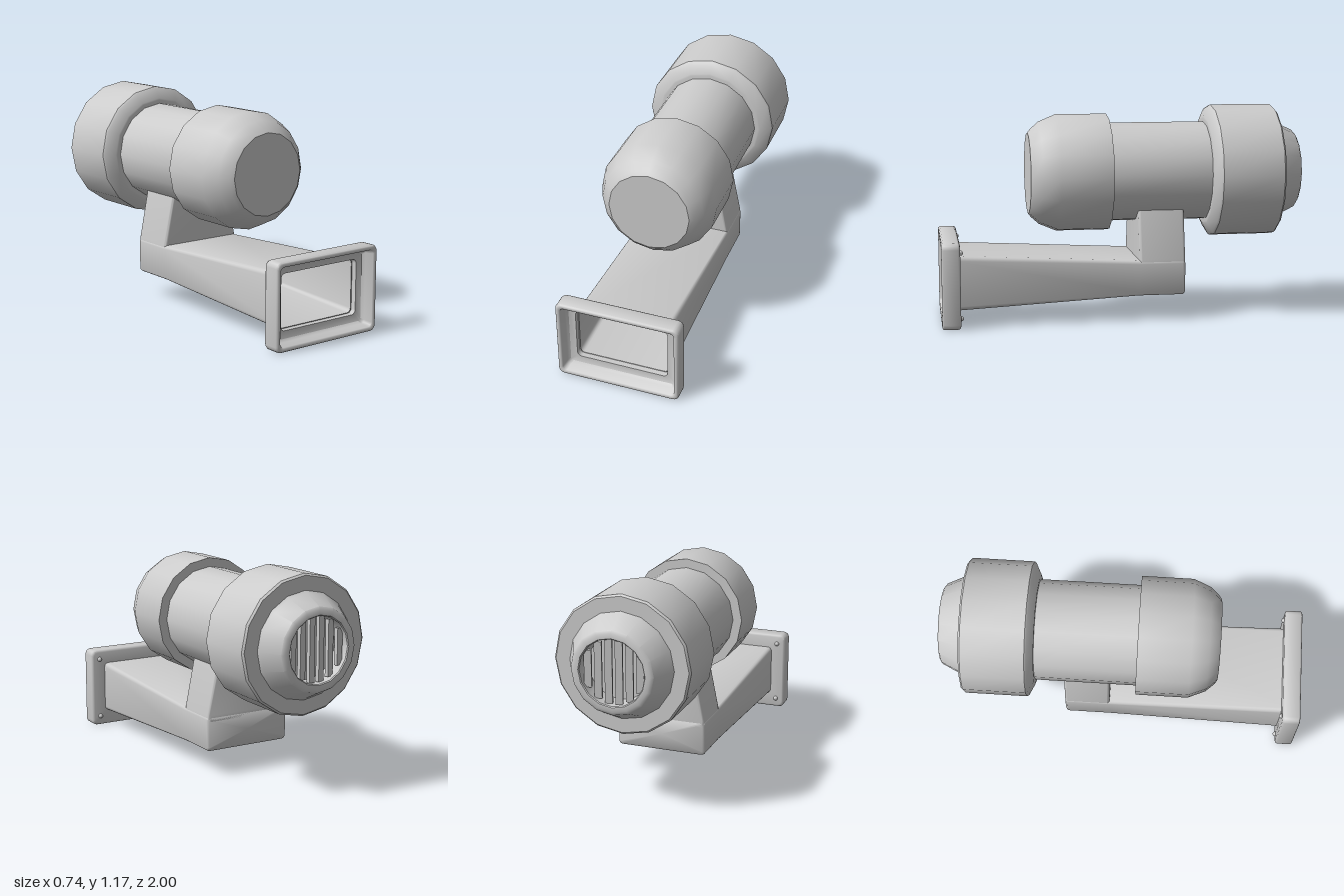
import * as THREE from 'three';
import { toCreasedNormals } from 'three/addons/utils/BufferGeometryUtils.js';

const AXIS_Y = 0.8;
const grey = new THREE.MeshStandardMaterial({ color: 0xcccccc });
const greyDouble = new THREE.MeshStandardMaterial({ color: 0xcccccc, side: THREE.DoubleSide });

function addMesh(parent, name, geometry, material = grey) {
  const mesh = new THREE.Mesh(geometry, material);
  mesh.name = name;
  parent.add(mesh);
  return mesh;
}

// 16-sided turned part along z; profile is [z, radius] from back to front
function turned(profile) {
  const points = profile.map(([z, r]) => new THREE.Vector2(r, z));
  const geometry = new THREE.LatheGeometry(points, 16);
  geometry.rotateX(Math.PI / 2);
  geometry.deleteAttribute('normal');
  return toCreasedNormals(geometry, 0.62);
}

// Rounded rectangle outline at depth z, counter-clockwise
function ring(halfWidth, y0, y1, z, r) {
  const steps = 4, out = [];
  const corners = [[1, y1 - r], [-1, y1 - r], [-1, y0 + r], [1, y0 + r]];
  corners.forEach(([side, cy], c) => {
    for (let i = 0; i <= steps; i++) {
      const a = (c + i / steps) * Math.PI / 2;
      out.push([side * (halfWidth - r) + r * Math.cos(a), cy + r * Math.sin(a), z]);
    }
  });
  return out;
}

// Skin over a list of outlines
function loft(rings) {
  const n = rings[0].length, index = [];
  for (let k = 0; k < rings.length - 1; k++) {
    for (let i = 0; i < n; i++) {
      const j = (i + 1) % n, a = k * n, b = a + n;
      index.push(a + i, a + j, b + j, a + i, b + j, b + i);
    }
  }
  const geometry = new THREE.BufferGeometry();
  geometry.setAttribute('position', new THREE.Float32BufferAttribute(rings.flat(2), 3));
  geometry.setIndex(index);
  return toCreasedNormals(geometry, 0.85);
}

function createHousing() {
  const housing = new THREE.Group();
  housing.name = 'housing';
  housing.position.y = AXIS_Y;

  addMesh(housing, 'barrel', turned([[-0.52, 0.275], [0.1, 0.275]]));
  addMesh(housing, 'frontHood', turned([
    [0.07, 0.26], [0.07, 0.325], [0.355, 0.325], [0.45, 0.285],
    [0.495, 0.245], [0.51, 0.225], [0.51, 0],
  ]));
  addMesh(housing, 'rearCollar', turned([
    [-0.87, 0.25], [-0.87, 0.36], [-0.86, 0.37], [-0.52, 0.37],
    [-0.51, 0.362], [-0.482, 0.305], [-0.48, 0.295], [-0.48, 0.26],
  ]));
  // Tapered tail with a recessed round vent
  addMesh(housing, 'rearTail', turned([
    [-0.89, 0], [-0.89, 0.172], [-0.995, 0.175], [-1, 0.18], [-1, 0.205],
    [-0.99, 0.222], [-0.885, 0.272], [-0.868, 0.285],
  ]));

  // Upright slats cut to the round vent
  const count = 6, pitch = 0.056;
  for (let i = 0; i < count; i++) {
    const x = (i - (count - 1) / 2) * pitch;
    const height = 2 * Math.sqrt(0.17 ** 2 - x * x);
    const slat = addMesh(housing, 'ventSlat', new THREE.BoxGeometry(0.038, height, 0.02));
    slat.position.set(x, 0, -0.965);
    slat.rotation.y = 0.25;
  }
  return housing;
}

function createBracket() {
  const bracket = new THREE.Group();
  bracket.name = 'bracket';

  // Hollow arm, open to the front
  addMesh(bracket, 'arm', loft([
    ring(0, 0.235, 0.235, -0.335, 0),
    ring(0.24, 0.152, 0.325, -0.335, 0.015),
    ring(0.251, 0.141, 0.334, -0.326, 0.02),
    ring(0.252, 0.139, 0.335, -0.32, 0.02),
    ring(0.252, 0.139, 0.335, -0.08, 0.02),
    ring(0.256, 0.087, 0.387, 0.93, 0.025),
  ]), greyDouble);

  // Upright that narrows towards the barrel
  const upright = addMesh(bracket, 'upright', loft([
    ring(0.25, 0.08, 0.335, 0.305, 0.015),
    ring(0.248, 0.08, 0.335, 0.34, 0.015),
    ring(0.193, 0.08, 0.335, 0.612, 0.015),
  ]), greyDouble);
  upright.rotation.x = -Math.PI / 2;

  // Mounting flange: shallow dish with a rectangular opening
  const rim = (inset, z) => ring(0.34 - inset, inset, 0.467 - inset, z, 0.032 - inset * 0.4);
  addMesh(bracket, 'flange', loft([
    ring(0.25, 0.092, 0.382, 0.9, 0.025),
    rim(0.014, 0.9), rim(0.004, 0.904), rim(0, 0.914),
    rim(0, 0.99), rim(0.004, 0.997), rim(0.01, 1), rim(0.02, 1),
    rim(0.026, 0.995), rim(0.032, 0.945), rim(0.045, 0.93),
    ring(0.256, 0.087, 0.387, 0.93, 0.025),
  ]), greyDouble);

  // Bolt heads on the back of the flange
  for (const x of [-0.29, 0.29]) {
    for (const y of [0.055, 0.412]) {
      const bolt = addMesh(bracket, 'bolt', new THREE.SphereGeometry(0.014, 10, 8));
      bolt.position.set(x, y, 0.898);
    }
  }
  return bracket;
}

export function createModel() {
  const model = new THREE.Group();
  model.name = 'wallCamera';
  model.add(createHousing(), createBracket());
  return model;
}
